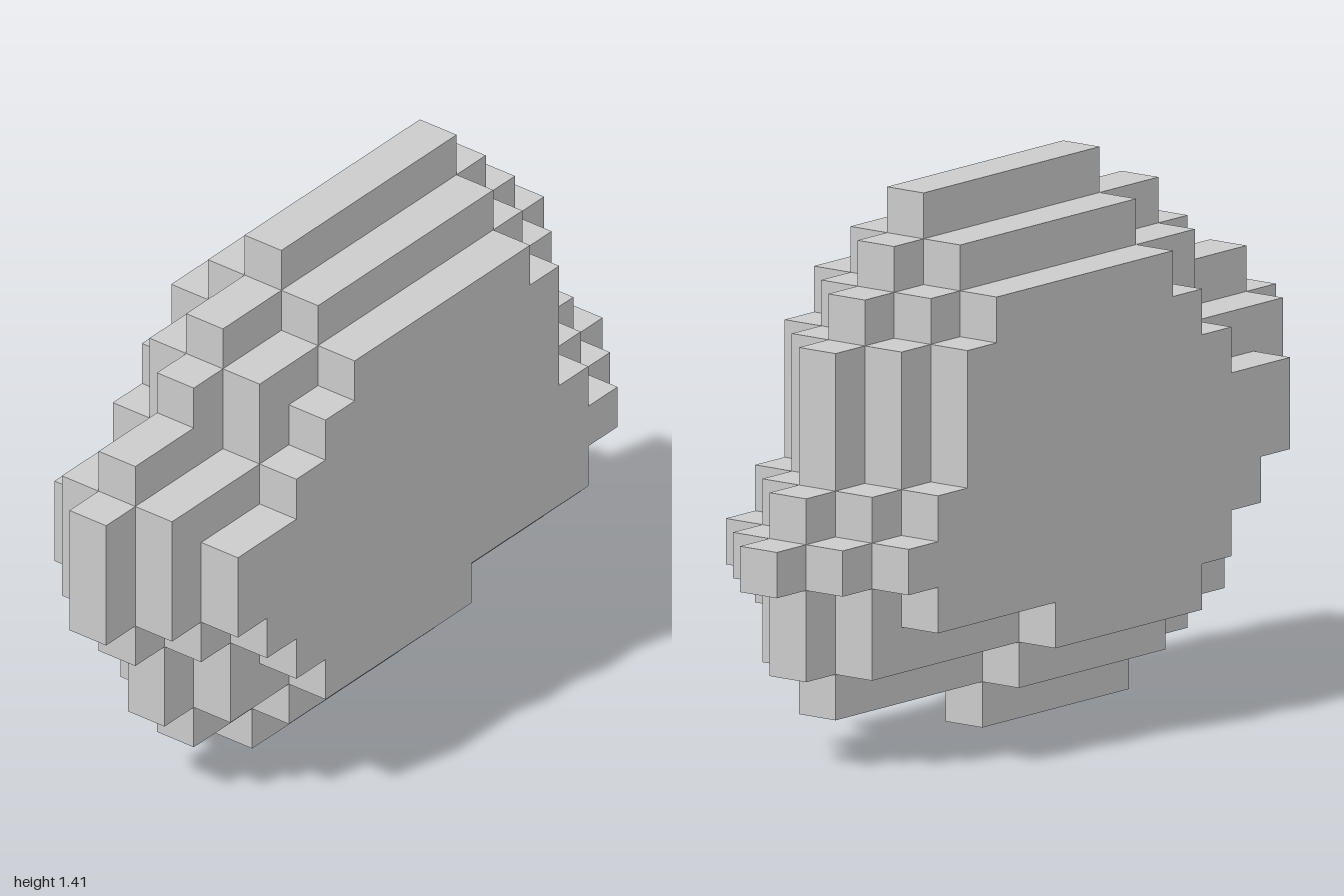
import * as THREE from 'three';

const U = 2 / 17; // size of one block

// Each layer: blocks wide, first row, then [front, back] extent per row (in half blocks)
const LAYERS = [
  { name: 'coreLayer', width: 1, row: 0, ends: [
    [7, -3], [11, -13], [13, -15], [13, -15], [15, -17], [17, -15],
    [17, -13], [17, -13], [15, -13], [11, -11], [9, -9], [5, -7]] },
  { name: 'middleLayer', width: 3, row: 1, ends: [
    [7, -3], [11, -13], [11, -13], [13, -15], [15, -13],
    [15, -11], [15, -11], [9, -11], [9, -9], [5, -7]] },
  { name: 'outerLayer', width: 5, row: 2, ends: [
    [7, -3], [9, -11], [11, -13], [13, -11],
    [13, -9], [9, -9], [7, -9], [5, -7]] },
];

// Stepped side outline: up along the front, down along the back
function steppedShape(row, ends) {
  const pts = [];
  const climb = (side) => {
    const list = [];
    ends.forEach((e, i) => {
      const z = e[side] * U / 2;
      if (i === 0 || ends[i - 1][side] !== e[side]) list.push(new THREE.Vector2(z, (row + i) * U));
      if (i === ends.length - 1 || ends[i + 1][side] !== e[side]) list.push(new THREE.Vector2(z, (row + i + 1) * U));
    });
    return list;
  };
  pts.push(...climb(0), ...climb(1).reverse());
  return new THREE.Shape(pts);
}

export function createModel() {
  const group = new THREE.Group();
  group.name = 'blockBoulder';
  const material = new THREE.MeshStandardMaterial({ color: 0xcccccc, flatShading: true });

  // Nested slabs: the wider the slab, the smaller its outline
  for (const { name, width, row, ends } of LAYERS) {
    const geometry = new THREE.ExtrudeGeometry(steppedShape(row, ends), { depth: width * U, bevelEnabled: false });
    geometry.translate(0, 0, -width * U / 2);
    geometry.rotateY(-Math.PI / 2); // outline runs along z, thickness along x
    const mesh = new THREE.Mesh(geometry, material);
    mesh.name = name;
    group.add(mesh);
  }
  return group;
}
